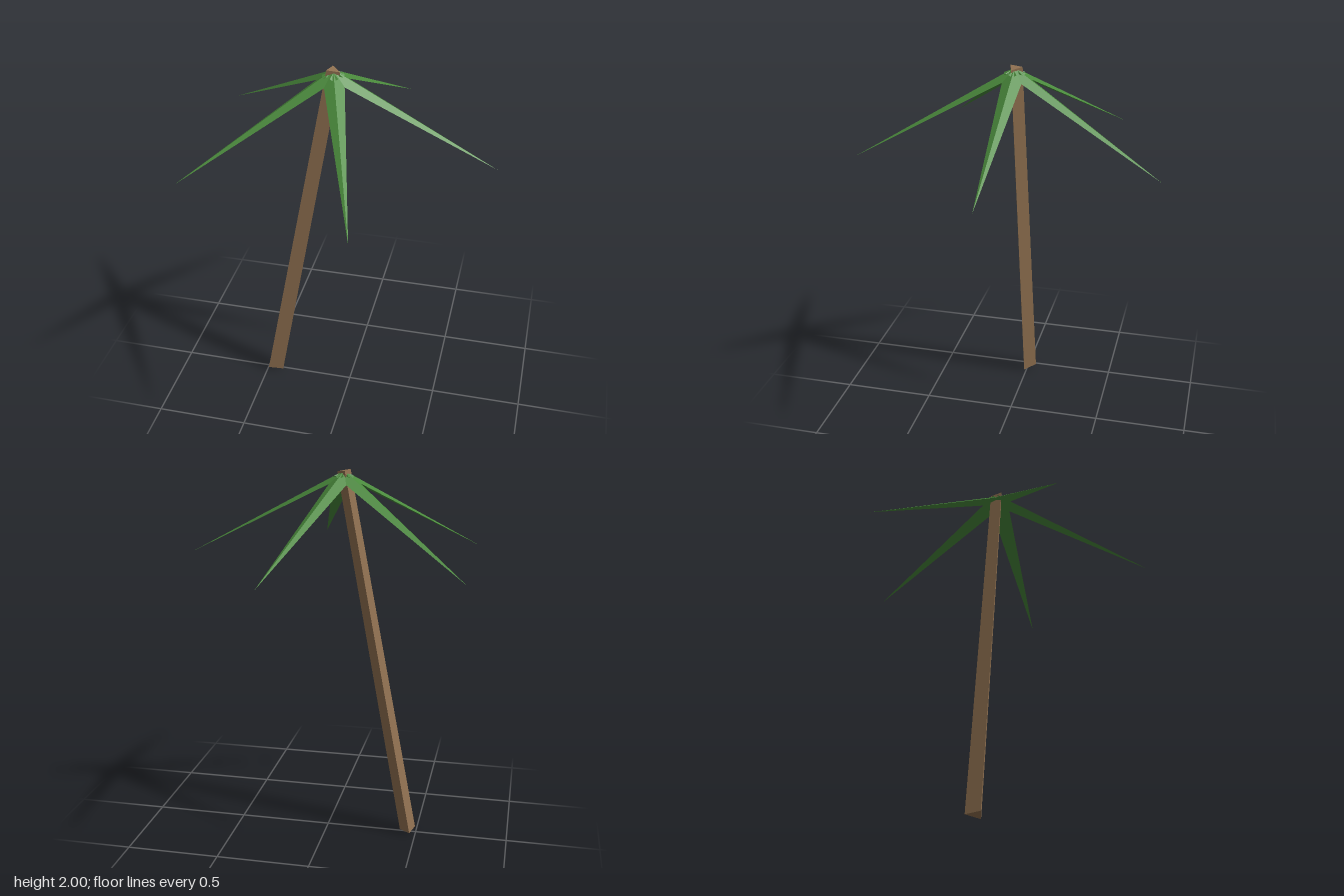
import * as THREE from 'three';

export function createModel() {
  const palm = new THREE.Group();
  palm.name = 'palmTree';

  const bark = new THREE.MeshStandardMaterial({ color: 0x8f7050, flatShading: true });
  bark.name = 'bark brown';
  const green = new THREE.MeshStandardMaterial({ color: 0x4a8a3c, flatShading: true });
  green.name = 'leaf green';

  // Leaning, slightly tapered three-sided trunk
  const bottom = new THREE.Vector3(-0.457, 0.009, 0);
  const top = new THREE.Vector3(-0.083, 1.993, 0);
  const axis = top.clone().sub(bottom);
  const trunk = new THREE.Mesh(
    new THREE.CylinderGeometry(0.04, 0.05, axis.length(), 3, 1, false, THREE.MathUtils.degToRad(75)),
    bark
  );
  trunk.name = 'trunk';
  trunk.position.copy(bottom).add(top).multiplyScalar(0.5);
  trunk.rotation.z = -Math.atan2(axis.x, axis.y);
  palm.add(trunk);

  // Frond: flattened three-sided spike, ridge upwards, drooping from the crown
  const reach = 0.833, drop = 0.433;
  const length = Math.hypot(reach, drop);
  const frondGeometry = new THREE.ConeGeometry(0.0635, length, 3, 1, false, Math.PI / 2)
    .translate(0, length / 2, 0)
    .rotateZ(Math.PI / 2)
    .rotateY(Math.PI)
    .scale(1, 0.27, 1)
    .rotateZ(-Math.atan2(drop, reach));

  // Five fronds spread evenly around the crown
  const crown = new THREE.Group();
  crown.name = 'crown';
  crown.position.set(-0.083, 1.973, 0);
  for (let i = 0; i < 5; i++) {
    const frond = new THREE.Mesh(frondGeometry, green);
    frond.name = `frond${i + 1}`;
    frond.rotation.y = (i * Math.PI * 2) / 5;
    crown.add(frond);
  }
  palm.add(crown);

  return palm;
}
